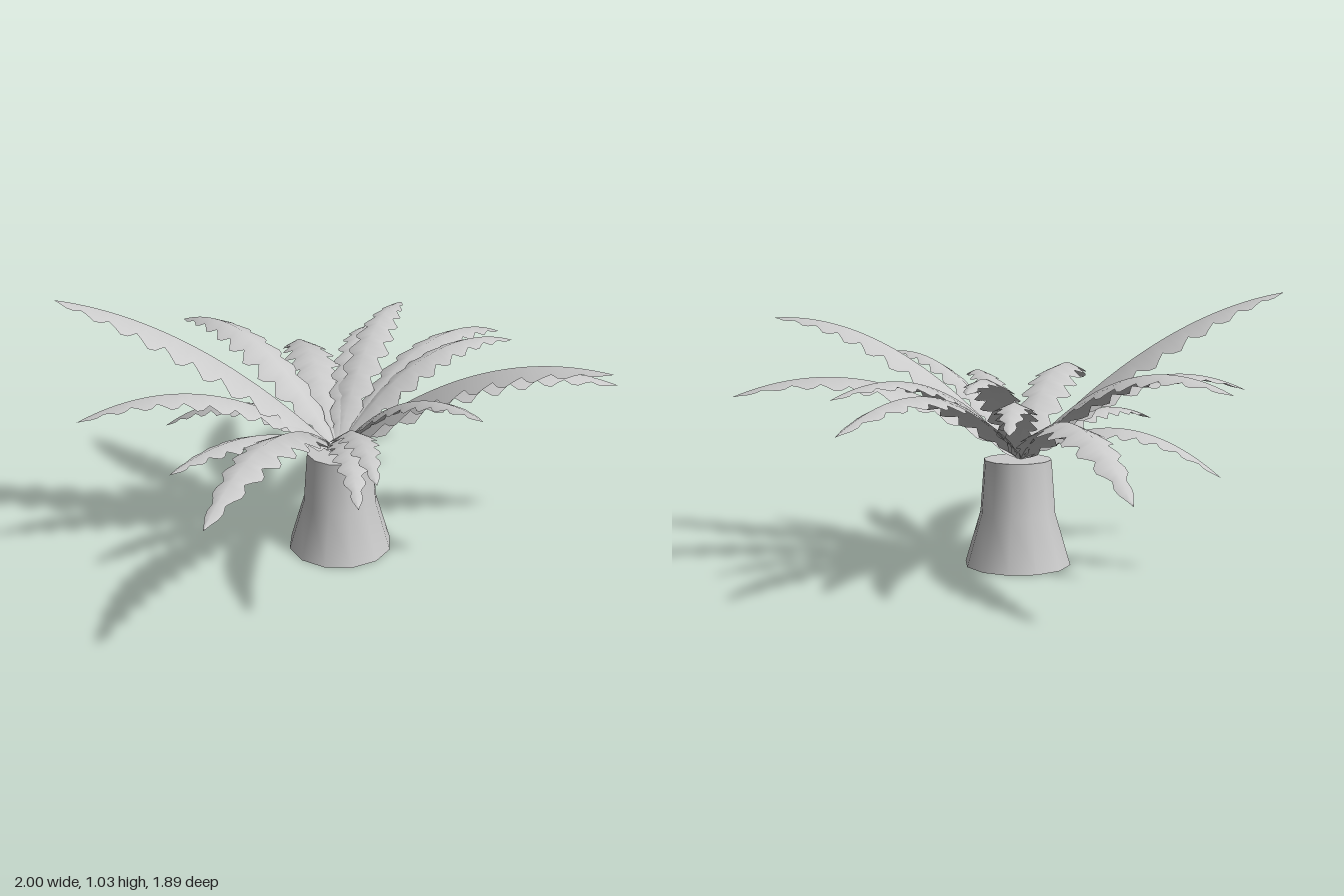
import * as THREE from 'three';

const material = new THREE.MeshStandardMaterial({ color: 0xcccccc, side: THREE.DoubleSide });
const CROWN = new THREE.Vector3(-0.015, 0.405, -0.05);

// Each frond: tip x, tip y, tip z, height of the arch's control point, half width
const FRONDS = [
  [-0.05, 0.71, -0.95, 0.91, 0.095],
  [0.53, 0.42, -0.945, 0.81, 0.105],
  [0.63, 0.61, -0.53, 0.83, 0.075],
  [0.70, 0.74, -0.41, 0.88, 0.08],
  [1.00, 0.61, -0.12, 0.87, 0.09],
  [0.80, 0.69, 0.12, 0.87, 0.08],
  [0.785, 0.66, 0.66, 0.88, 0.105],
  [0.335, 0.92, 0.945, 0.96, 0.1],
  [-0.02, 0.77, 0.68, 0.86, 0.06],
  [-0.445, 0.65, 0.60, 0.80, 0.07],
  [-0.49, 0.56, 0.56, 0.76, 0.07],
  [-1.00, 0.61, 0.39, 0.885, 0.1],
  [-0.72, 0.50, -0.17, 0.67, 0.07],
  [-0.86, 0.63, -0.53, 0.86, 0.08],
  [-0.785, 1.03, -0.73, 0.95, 0.115],
  [-0.315, 0.37, -0.75, 0.69, 0.075],
];

// Serrated leaf with a raised midrib, swept along an arching curve
function frondGeometry([x, y, z, archHeight, halfWidth]) {
  const tip = new THREE.Vector3(x, y, z);
  const control = CROWN.clone().lerp(tip, 0.5).setY(archHeight);
  const curve = new THREE.QuadraticBezierCurve3(CROWN, control, tip);
  const side = new THREE.Vector3(0, 1, 0).cross(tip.clone().sub(CROWN)).normalize();
  const teeth = 10;
  const toothShape = [0.62, 0.95, 1.05, 0.82];
  const rows = teeth * toothShape.length;
  const positions = [];
  const index = [];

  for (let i = 0; i <= rows; i++) {
    const t = i / rows;
    const rib = curve.getPoint(t);
    const up = curve.getTangent(t).cross(side).normalize();
    const envelope = Math.pow(Math.max(0, Math.sin(Math.PI * Math.pow(t, 0.8))), 0.7);
    const w = halfWidth * envelope * toothShape[i % toothShape.length];
    for (const s of [1, 0, -1]) {
      const p = rib.clone().addScaledVector(side, s * w).addScaledVector(up, -Math.abs(s) * w * 0.45);
      positions.push(p.x, p.y, p.z);
    }
    if (i === rows) break;
    for (const k of [0, 1]) {
      const a = i * 3 + k;
      index.push(a, a + 1, a + 4, a, a + 4, a + 3);
    }
  }
  const geometry = new THREE.BufferGeometry();
  geometry.setAttribute('position', new THREE.Float32BufferAttribute(positions, 3));
  geometry.setIndex(index);
  geometry.computeVertexNormals();
  return geometry;
}

export function createModel() {
  const model = new THREE.Group();
  model.name = 'fernPalm';

  // Flared trunk, open underneath
  const profile = [[0.204, 0], [0.145, 0.2], [0.13, 0.405]].map(([r, h]) => new THREE.Vector2(r, h));
  const trunk = new THREE.Mesh(new THREE.LatheGeometry(profile, 12), material);
  trunk.name = 'trunk';
  trunk.position.set(-0.01, 0, -0.04);
  model.add(trunk);

  // Flat top of the trunk
  const cap = new THREE.Mesh(new THREE.CircleGeometry(0.13, 12), material);
  cap.name = 'trunkTop';
  cap.rotation.x = -Math.PI / 2;
  cap.position.set(-0.01, 0.405, -0.04);
  model.add(cap);

  // Crown of arching fronds
  const crown = new THREE.Group();
  crown.name = 'crown';
  FRONDS.forEach((data, i) => {
    const frond = new THREE.Mesh(frondGeometry(data), material);
    frond.name = `frond${i + 1}`;
    crown.add(frond);
  });
  model.add(crown);
  return model;
}
